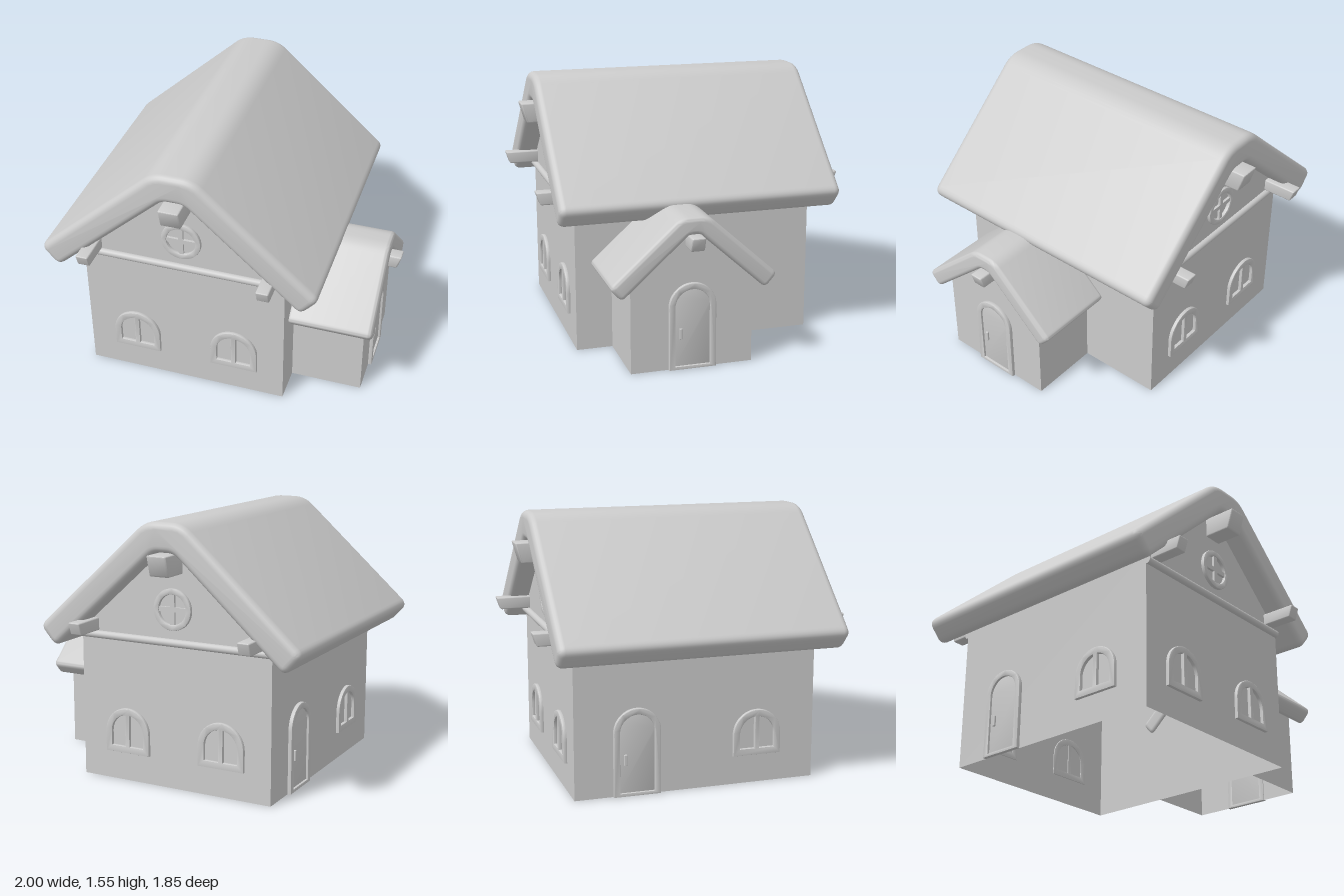
import * as THREE from 'three';
import { toCreasedNormals } from 'three/addons/utils/BufferGeometryUtils.js';
import { RoundedBoxGeometry } from 'three/addons/geometries/RoundedBoxGeometry.js';

const SLOPE = 0.9;
const material = new THREE.MeshStandardMaterial({ color: 0xcccccc });
const wallMaterial = new THREE.MeshStandardMaterial({ color: 0xcccccc, side: THREE.DoubleSide });

function add(parent, name, geometry, x = 0, y = 0, z = 0, mat = material) {
  const mesh = new THREE.Mesh(geometry, mat);
  mesh.name = name;
  mesh.position.set(x, y, z);
  parent.add(mesh);
  return mesh;
}

function group(parent, name, x = 0, y = 0, z = 0, turn = 0) {
  const g = new THREE.Group();
  g.name = name;
  g.position.set(x, y, z);
  g.rotation.y = turn;
  parent.add(g);
  return g;
}

// Closed shape through [x, y, radius] corners, each corner rounded
function roundedShape(corners) {
  const shape = new THREE.Shape();
  const n = corners.length;
  const pts = corners.map(c => new THREE.Vector2(c[0], c[1]));
  pts.forEach((p, i) => {
    const r = corners[i][2];
    const a = pts[(i + n - 1) % n].clone().sub(p).setLength(r).add(p);
    const b = pts[(i + 1) % n].clone().sub(p).setLength(r).add(p);
    if (i === 0) shape.moveTo(a.x, a.y);
    else shape.lineTo(a.x, a.y);
    shape.quadraticCurveTo(p.x, p.y, b.x, b.y);
  });
  shape.closePath();
  return shape;
}

// Thick folded roof with a flattened ridge and soft edges
function roofGeometry({ peak, top, gap, ceiling, reach, z0, z1, bevel }) {
  const outerFlat = (peak - top) / SLOPE;
  const innerFlat = (peak - gap - ceiling) / SLOPE;
  const cos = 1 / Math.hypot(1, SLOPE);
  const thick = gap * cos;
  const eaveY = peak - SLOPE * reach;
  const r = bevel * 1.25;
  const half = [
    [outerFlat, top, outerFlat * 0.6],
    [reach, eaveY, r],
    [reach - thick * SLOPE * cos, eaveY - thick * cos, r],
    [innerFlat, ceiling, innerFlat * 0.6],
  ];
  const mirrored = half.map(([x, y, q]) => [-x, y, q]).reverse();
  const geometry = new THREE.ExtrudeGeometry(roundedShape([...half, ...mirrored]), {
    depth: z1 - z0 - 2 * bevel, curveSegments: 6,
    bevelThickness: bevel, bevelSize: bevel, bevelOffset: -bevel, bevelSegments: 5,
  });
  geometry.translate(0, 0, z0 + bevel);
  return toCreasedNormals(geometry, 0.7);
}

// Gable wall outline
function gableGeometry(w, eave, peak) {
  return new THREE.ShapeGeometry(new THREE.Shape(
    [[-w, 0], [w, 0], [w, eave], [0, peak], [-w, eave]].map(p => new THREE.Vector2(...p))));
}

function sideWalls(parent, w, h, z0, z1) {
  for (const s of [-1, 1]) {
    const wall = add(parent, 'sideWall', new THREE.PlaneGeometry(z1 - z0, h),
      s * w, h / 2, (z0 + z1) / 2, wallMaterial);
    wall.rotation.y = s * Math.PI / 2;
  }
}

// Arched outline: straight sides with a half-round head
function arch(Type, w, bottom, spring) {
  const p = new Type();
  p.moveTo(-w, bottom);
  p.lineTo(w, bottom);
  p.lineTo(w, spring);
  p.absarc(0, spring, w, 0, Math.PI, false);
  p.closePath();
  return p;
}

function trimGeometry(shape, depth) {
  const b = 0.005;
  const geometry = new THREE.ExtrudeGeometry(shape, {
    depth: depth - b, curveSegments: 16,
    bevelThickness: b, bevelSize: b, bevelOffset: -b, bevelSegments: 2,
  });
  return toCreasedNormals(geometry, 0.6);
}

// Arched window with two quarter-headed panes
function archedWindow(parent, x, y, z, turn) {
  const g = group(parent, 'archedWindow', x, y, z, turn);
  const frame = arch(THREE.Shape, 0.145, 0, 0.125);
  const r = 0.105, bar = 0.015, spring = 0.125;
  const a = Math.acos(bar / r);
  for (const s of [-1, 1]) {
    const pane = new THREE.Path();
    pane.moveTo(s * bar, 0.04);
    pane.lineTo(s * r, 0.04);
    for (let i = 0; i <= 10; i++) {
      const t = a * i / 10;
      pane.lineTo(s * r * Math.cos(t), spring + r * Math.sin(t));
    }
    pane.closePath();
    frame.holes.push(pane);
  }
  add(g, 'windowFrame', trimGeometry(frame, 0.02));
}

// Round gable window with a cross bar
function roundWindow(parent, x, y, z, turn) {
  const g = group(parent, 'roundWindow', x, y, z, turn);
  const frame = new THREE.Shape().absarc(0, 0, 0.12, 0, Math.PI * 2);
  frame.holes.push(new THREE.Path().absarc(0, 0, 0.087, 0, Math.PI * 2));
  add(g, 'roundFrame', trimGeometry(frame, 0.02));
  add(g, 'crossBar', new THREE.BoxGeometry(0.18, 0.028, 0.015), 0, 0, 0.0075);
  add(g, 'crossBar', new THREE.BoxGeometry(0.028, 0.18, 0.015), 0, 0, 0.0075);
}

// Arched door with frame and handle
function door(parent, x, z, turn) {
  const g = group(parent, 'door', x, 0, z, turn);
  const frame = arch(THREE.Shape, 0.138, 0, 0.372);
  frame.holes.push(arch(THREE.Path, 0.102, 0.02, 0.372));
  add(g, 'doorFrame', trimGeometry(frame, 0.022));
  add(g, 'doorPanel', trimGeometry(arch(THREE.Shape, 0.11, 0.015, 0.372), 0.008));
  add(g, 'doorHandle', new RoundedBoxGeometry(0.018, 0.065, 0.014, 2, 0.004), -0.068, 0.213, 0.013);
}

// Beam end, cut back at the bottom of its outer face
function beamGeometry(size, z0, z1, cut) {
  const geometry = new RoundedBoxGeometry(size, size, z1 - z0, 2, 0.008);
  const p = geometry.attributes.position;
  for (let i = 0; i < p.count; i++) {
    if (p.getZ(i) > 0) p.setZ(i, p.getZ(i) - cut * (0.5 - p.getY(i) / size));
  }
  geometry.translate(0, 0, (z0 + z1) / 2);
  return toCreasedNormals(geometry, 0.6);
}

export function createModel() {
  const model = new THREE.Group();
  model.name = 'cottage';
  const W = 0.6125, D = 0.718;

  // Main house
  const house = group(model, 'house', -0.178);
  sideWalls(house, W, 0.92, -D, D);
  add(house, 'mainRoof', roofGeometry({
    peak: 1.66, top: 1.555, gap: 0.22, ceiling: 1.385, reach: 0.842, z0: -0.842, z1: 0.842, bevel: 0.04,
  }));

  // Matching front and back ends
  for (const turn of [0, Math.PI]) {
    const end = group(house, turn ? 'backEnd' : 'frontEnd', 0, 0, 0, turn);
    add(end, 'gableWall', gableGeometry(W, 0.92, 1.47), 0, 0, D, wallMaterial);
    const rail = add(end, 'gableRail', new THREE.CylinderGeometry(0.0225, 0.0225, 2 * W, 16), 0, 0.863, D + 0.005);
    rail.rotation.z = Math.PI / 2;
    roundWindow(end, 0, 1.055, D, 0);
    for (const s of [-1, 1]) {
      archedWindow(end, s * 0.306, 0.17, D, 0);
      add(end, 'eaveBeam', beamGeometry(0.075, 0.69, 0.925, 0.025), s * 0.536, 0.923, 0);
    }
    add(end, 'ridgeBeam', beamGeometry(0.12, 0.69, 0.91, 0.035), 0, 1.32, 0);
  }

  // Door and window on the far side wall
  door(house, -W, -0.355, -Math.PI / 2);
  archedWindow(house, -W, 0.17, 0.365, -Math.PI / 2);

  // Entrance porch facing +x
  const porch = group(model, 'porch', 0, 0, 0.147, Math.PI / 2);
  const PW = 0.357, PX = 0.866;
  sideWalls(porch, PW, 0.53, 0.435, PX);
  add(porch, 'porchGable', gableGeometry(PW, 0.53, 0.85), 0, 0, PX, wallMaterial);
  add(porch, 'porchRoof', roofGeometry({
    peak: 0.972, top: 0.9, gap: 0.144, ceiling: 0.8, reach: 0.488, z0: 0.42, z1: 0.93, bevel: 0.026,
  }));
  add(porch, 'porchBeam', beamGeometry(0.08, 0.84, 0.998, 0.025), 0, 0.76, 0);
  door(porch, 0, PX, 0);

  return model;
}
